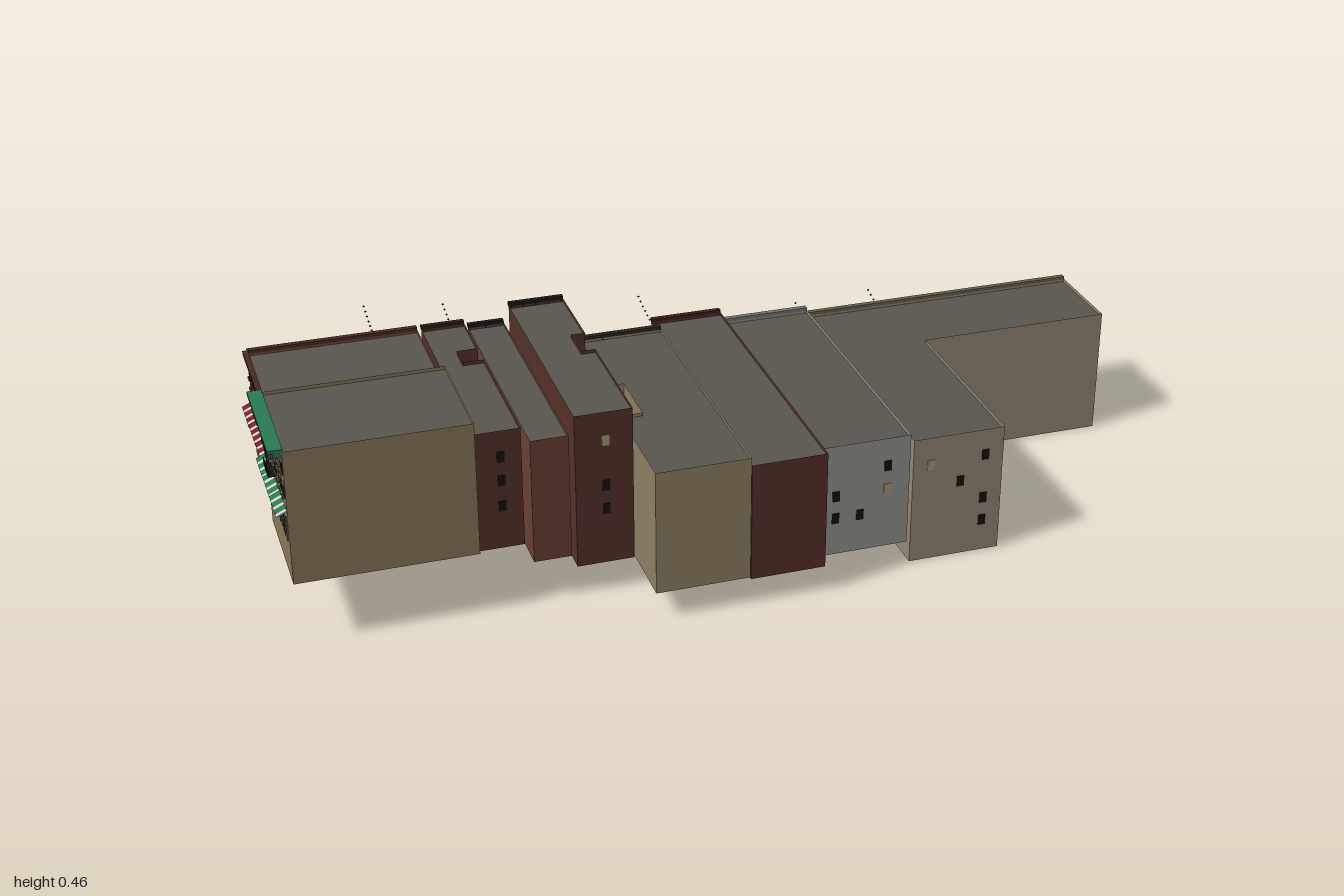
import * as THREE from 'three';
import { mergeGeometries } from 'three/addons/utils/BufferGeometryUtils.js';

const GREEN = 0x2a7a52, RED = 0x7c1f2c, ORANGE = 0xc9862f, BLUE = 0x3d62a8, WHITE = 0xd8d4cc, DARK = 0x1a1817;
const GLASS = { dark: 0x14110f, dim: 0x2a2724, lit: 0xa89a78, grey: 0x7f868c };
const GLASS_MIX = [GLASS.dark, GLASS.dark, GLASS.dim, GLASS.lit, GLASS.grey];
const SLANT = 0.154; // the whole row is turned by this angle
const FLOOR = 0.053;

let seed = 7;
const rnd = () => (seed = (seed * 16807) % 2147483647) / 2147483647;

// Collects pieces of one part and colour, merged into single meshes at the end
class Parts {
  constructor() { this.map = new Map(); }
  add(name, color, geo) {
    const key = name + color;
    if (!this.map.has(key)) this.map.set(key, { name, color, list: [] });
    this.map.get(key).list.push(geo);
  }
  box(name, color, matrix, [w, h, d], [x, y, z], rx = 0, rz = 0) {
    this.add(name, color, new THREE.BoxGeometry(w, h, d).rotateX(rx).rotateZ(rz).translate(x, y, z).applyMatrix4(matrix));
  }
  flush(group) {
    for (const { name, color, list } of this.map.values()) {
      const mesh = new THREE.Mesh(mergeGeometries(list), new THREE.MeshStandardMaterial({ color }));
      mesh.name = name;
      group.add(mesh);
    }
  }
}

// Footprint from the street's east corner: u runs west along the street, v back into the yard
function footprint({ east: [x, z], width: w, depth: d, westNotch, eastNotch, wing }) {
  const uv = [[0, 0], [w, 0]];
  if (westNotch) {
    const [v0, v1, n] = westNotch;
    uv.push([w, v0], [w - n, v0], [w - n, v1], [w, v1]);
  }
  uv.push([w, d]);
  if (wing) uv.push([wing[0], d], wing, [0, wing[1]]);
  else uv.push([0, d]);
  if (eastNotch) {
    const [v0, v1, n] = eastNotch;
    uv.push([0, v1], [n, v1], [n, v0], [0, v0]);
  }
  const c = Math.cos(SLANT), s = Math.sin(SLANT);
  return uv.map(([u, v]) => [x - u * c + v * s, z + u * s + v * c]);
}

// Frame of a wall: local x runs along it, local z points outward
function wallFrame(plan, i) {
  const a = plan[i], b = plan[(i + 1) % plan.length];
  const dx = b[0] - a[0], dz = b[1] - a[1];
  const matrix = new THREE.Matrix4().makeRotationY(Math.atan2(-dz, dx)).setPosition(a[0], 0, a[1]);
  return { matrix, length: Math.hypot(dx, dz) };
}

function addShell(group, plan, color, bottom, top) {
  const walls = plan.map((_, i) => {
    const { matrix, length } = wallFrame(plan, i);
    return new THREE.PlaneGeometry(length, top - bottom).translate(length / 2, (bottom + top) / 2, 0).applyMatrix4(matrix);
  });
  const wallMesh = new THREE.Mesh(mergeGeometries(walls), new THREE.MeshStandardMaterial({ color, side: THREE.DoubleSide }));
  wallMesh.name = 'walls';
  const shape = new THREE.Shape(plan.map(([x, z]) => new THREE.Vector2(x, -z)));
  const roof = new THREE.Mesh(new THREE.ShapeGeometry(shape).rotateX(-Math.PI / 2),
    new THREE.MeshStandardMaterial({ color: 0x5a5650, side: THREE.DoubleSide }));
  roof.position.y = top - 0.008;
  roof.name = 'roof';
  group.add(wallMesh, roof);
}

function addWindow(parts, m, x, y, color) {
  parts.box('windows', color, m, [0.016, 0.024, 0.003], [x, y, 0.0005]);
}

function addFacade(parts, { matrix: m, length }, top, { from, to, shops, stripes, cornice, deep = 0.012, trim = cornice }) {
  // Shops and awnings step with the sloping street
  const w = length / shops;
  for (let s = 0; s < shops; s++) {
    const y = from + (to - from) * (s + 0.5) / shops, cx = (s + 0.5) * w;
    parts.box('shopFronts', 0xb4b4b0, m, [w * 0.94, 0.056, 0.004], [cx, y - 0.034, 0.001]);
    for (let k = 0; k <= 4; k++)
      parts.box('shopFrames', 0x4a4642, m, [0.003, 0.056, 0.007], [cx + (k / 4 - 0.5) * w * 0.94, y - 0.034, 0.001]);
    parts.box('shopDoors', 0x26221f, m, [0.016, 0.04, 0.006], [cx + w * 0.12, y - 0.042, 0.001]);
    const n = Math.max(4, Math.round(w / 0.01)), sw = w * 0.97 / n;
    for (let k = 0; k < n; k++)
      parts.box('awning', stripes[k % stripes.length], m, [sw, 0.003, 0.024], [cx + (k + 0.5 - n / 2) * sw, y, 0.011], 0.45);
  }
  // Upper windows with sill and lintel
  const cols = Math.max(2, Math.round(length / 0.035));
  for (let c = 0; c < cols; c++) {
    const x = (c + 0.5) * length / cols;
    for (let y = top - 0.04; y > from + (to - from) * x / length + 0.025; y -= FLOOR) {
      addWindow(parts, m, x, y, GLASS_MIX[Math.floor(rnd() * GLASS_MIX.length)]);
      parts.box('windowTrim', trim, m, [0.021, 0.003, 0.006], [x, y - 0.0135, 0.002]);
      parts.box('windowTrim', trim, m, [0.021, 0.004, 0.005], [x, y + 0.014, 0.0015]);
    }
  }
  // Cornice with brackets
  parts.box('cornice', cornice, m, [length, 0.008, deep], [length / 2, top + 0.002, deep / 2 - 0.002]);
  for (let k = 0; k <= cols; k++)
    parts.box('brackets', cornice, m, [0.004, 0.01, deep * 0.6], [0.004 + k * (length - 0.008) / cols, top - 0.007, deep * 0.3]);
}

// Balconies joined by slanted ladders
function addFireEscape(parts, m, x, top, base) {
  for (let y = top - 0.056; y > base + 0.01; y -= FLOOR) {
    parts.box('fireEscape', DARK, m, [0.06, 0.002, 0.018], [x, y, 0.01]);
    parts.box('fireEscape', DARK, m, [0.06, 0.002, 0.002], [x, y + 0.014, 0.018]);
    for (let k = 0; k < 7; k++)
      parts.box('fireEscape', DARK, m, [0.0015, 0.014, 0.0015], [x - 0.029 + k * 0.0097, y + 0.007, 0.018]);
    if (y - FLOOR > base + 0.01) parts.box('fireEscape', DARK, m, [0.002, 0.066, 0.006], [x, y - 0.027, 0.014], 0, 0.6);
  }
}

// extra: loose windows as [wall, glass, x, y]; fronts: shop fronts on walls 0, 1...; escapes: on the last front
function building(name, color, [bottom, top], plot, fronts, { firstWall = 0, escapes = [], extra = [] } = {}) {
  const group = new THREE.Group(), parts = new Parts(), plan = footprint(plot);
  group.name = name;
  addShell(group, plan, color, bottom, top);
  fronts.forEach((front, i) => addFacade(parts, wallFrame(plan, firstWall + i), top, front));
  const last = fronts.length - 1, { matrix, length } = wallFrame(plan, firstWall + last);
  for (const x of escapes)
    addFireEscape(parts, matrix, x, top, THREE.MathUtils.lerp(fronts[last].from, fronts[last].to, x / length));
  for (const [wall, glass, x, y] of extra) addWindow(parts, wallFrame(plan, wall).matrix, x, y, GLASS[glass]);
  parts.flush(group);
  return group;
}

// Strings of small beads reaching out over the street from the roof line
function lightStrings() {
  const group = new THREE.Group(), beads = new Parts();
  group.name = 'streetLights';
  const starts = [[-0.69, 0.35, -0.09], [-0.51, 0.337, -0.1], [-0.26, 0.285, -0.13], [-0.045, 0.28, -0.19],
    [0.15, 0.22, -0.21], [0.345, 0.21, -0.24], [0.53, 0.22, -0.265], [0.69, 0.17, -0.29], [0.988, 0.177, -0.325]];
  for (const [x, y, z] of starts)
    for (let k = 0; k <= 12; k++) {
      const t = k / 12, sag = 0.016 * (1 - t) + 0.04 * t * (1 - t);
      beads.add('beadString', 0x4a2020, new THREE.OctahedronGeometry(0.003).translate(x - 0.033 * t, y - sag, z - 0.226 * t));
    }
  beads.flush(group);
  return group;
}

export function createModel() {
  const model = new THREE.Group();
  model.name = 'streetRow';
  model.add(building('longCornerBlock', 0x968975, [0, 0.295],
    { east: [0.935, -0.325], width: 0.648, depth: 0.638, wing: [0.442, 0.205] },
    [{ from: 0.085, to: 0.145, shops: 6, stripes: [ORANGE, BLUE, ORANGE, WHITE], cornice: 0x6a604f }],
    { escapes: [0.4, 0.52], extra: [
      [2, 'lit', 0.04, 0.23], [2, 'dark', 0.11, 0.18], [2, 'dark', 0.165, 0.235], [2, 'dark', 0.165, 0.13], [2, 'dark', 0.165, 0.075],
      [5, 'dark', 0.04, 0.125], [5, 'lit', 0.095, 0.125], [5, 'grey', 0.095, 0.07],
      [5, 'dark', 0.15, 0.18], [5, 'lit', 0.15, 0.125], [5, 'grey', 0.15, 0.07]] }));
  model.add(building('greyHouse', 0x94938e, [0.05, 0.31], { east: [0.288, -0.222], width: 0.2, depth: 0.634 },
    [{ from: 0.15, to: 0.16, shops: 2, stripes: [RED, RED, WHITE], cornice: 0x777672 }],
    { escapes: [0.1], extra: [[2, 'dark', 0.035, 0.19], [2, 'dark', 0.035, 0.137], [2, 'dark', 0.09, 0.137],
      [2, 'dark', 0.15, 0.245], [2, 'lit', 0.15, 0.19]] }));
  model.add(building('darkRedHouse', 0x572f29, [0.06, 0.33], { east: [0.082, -0.2], width: 0.164, depth: 0.7 },
    [{ from: 0.165, to: 0.178, shops: 2, stripes: [GREEN, WHITE], cornice: 0x3c211c }]));
  model.add(building('tanHouse', 0x8f8063, [0.065, 0.348],
    { east: [-0.07, -0.1], width: 0.204, depth: 0.625, westNotch: [0.231, 0.37, 0.05] },
    [{ from: 0.185, to: 0.2, shops: 2, stripes: [BLUE, WHITE], cornice: 0x2a2622 }], { escapes: [0.1] }));
  model.add(building('tallRedHouse', 0x56302a, [0.07, 0.425],
    { east: [-0.285, -0.13], width: 0.124, depth: 0.545, eastNotch: [0.183, 0.265, 0.031] },
    [{ from: 0.207, to: 0.215, shops: 1, stripes: [RED, WHITE], cornice: DARK }],
    { escapes: [0.06], extra: [[2, 'lit', 0.065, 0.36], [2, 'dark', 0.065, 0.255], [2, 'dark', 0.065, 0.2],
      [3, 'lit', 0.085, 0.365], [3, 'dark', 0.145, 0.365], [7, 'dark', 0.02, 0.365], [7, 'dark', 0.12, 0.365]] }));
  model.add(building('brownHouse', 0x694034, [0.1, 0.385], { east: [-0.42, -0.112], width: 0.081, depth: 0.55 },
    [{ from: 0.22, to: 0.225, shops: 1, stripes: [ORANGE, WHITE], cornice: DARK }]));
  model.add(building('narrowRedHouse', 0x55302a, [0.12, 0.395],
    { east: [-0.508, -0.1], width: 0.096, depth: 0.508, eastNotch: [0.13, 0.187, 0.046] },
    [{ from: 0.228, to: 0.235, shops: 1, stripes: [ORANGE, DARK], cornice: 0x2a1d16 }],
    { extra: [[2, 'dark', 0.052, 0.335], [2, 'dark', 0.052, 0.28], [2, 'dark', 0.052, 0.22]] }));
  const brickFront = { stripes: [RED, RED, WHITE], cornice: 0x4a2a22 };
  model.add(building('brickCornerHouse', 0x74463a, [0.145, 0.392], { east: [-0.612, -0.09], width: 0.372, depth: 0.296 },
    [{ ...brickFront, from: 0.245, to: 0.265, shops: 4 }, { ...brickFront, from: 0.265, to: 0.285, shops: 3 }],
    { escapes: [0.2] }));
  model.add(building('tanCornerHouse', 0x897659, [0.15, 0.452], { east: [-0.568, 0.215], width: 0.382, depth: 0.264 },
    [{ from: 0.305, to: 0.315, shops: 3, stripes: [GREEN, GREEN, WHITE], cornice: GREEN, deep: 0.03, trim: 0x5d4e3a }],
    { firstWall: 1, escapes: [0.13] }));
  model.add(lightStrings());
  return model;
}
